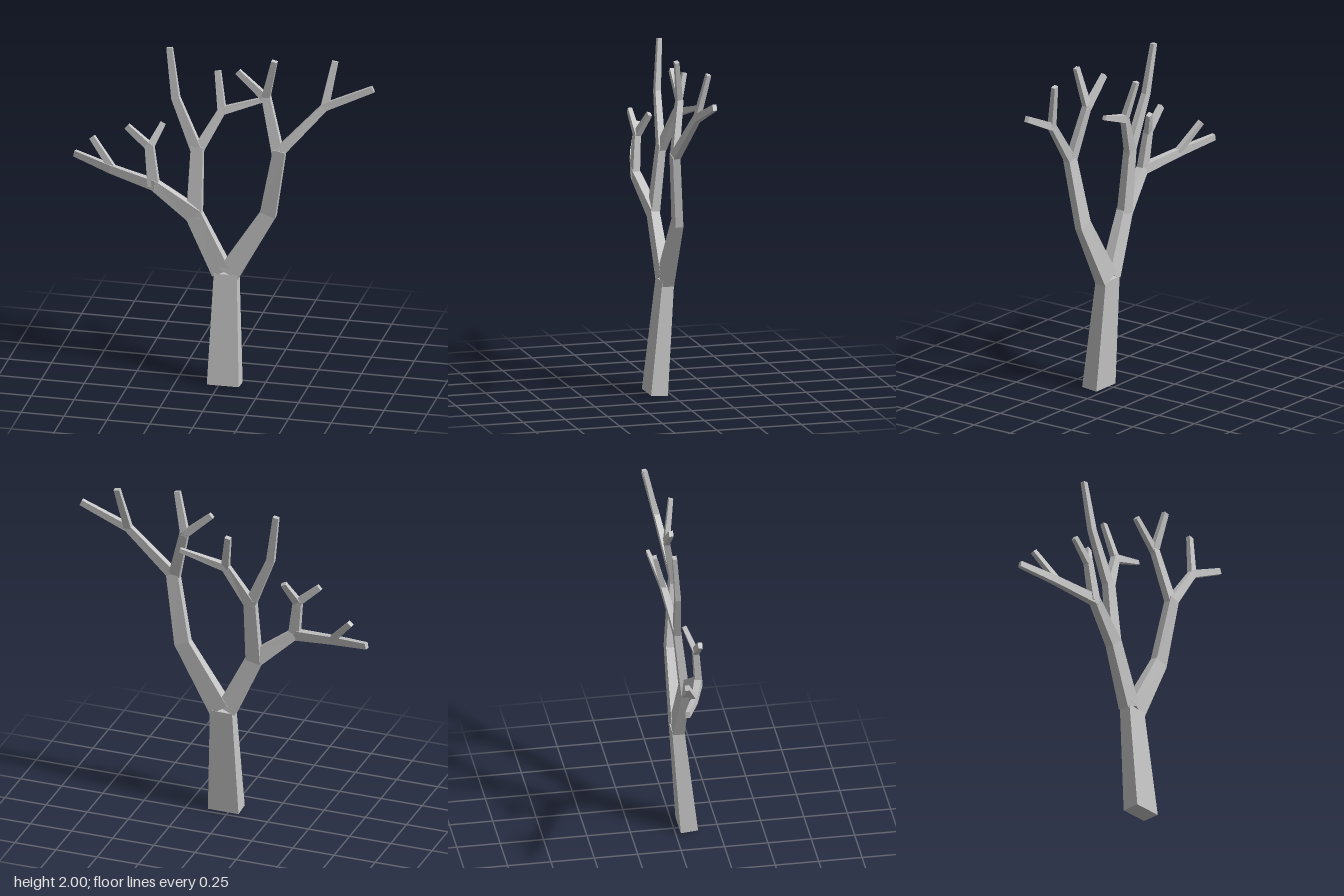
import * as THREE from 'three';

const bark = new THREE.MeshStandardMaterial({ color: 0xc6c6c6 });
bark.name = 'pale grey bark';

// Tapered rectangular limb through stations [x, y, z, width, depth]
function limb(name, stations) {
  const pts = stations.map(s => new THREE.Vector3(s[0], s[1], s[2]));
  const last = pts.length - 1;
  const rings = pts.map((p, i) => {
    const tangent = new THREE.Vector3();
    if (i > 0) tangent.add(p.clone().sub(pts[i - 1]).normalize());
    if (i < last) tangent.add(pts[i + 1].clone().sub(p).normalize());
    tangent.normalize();
    const side = tangent.clone().cross(new THREE.Vector3(0, 0, 1)).normalize();
    const front = side.clone().cross(tangent);
    const [, , , w, d] = stations[i];
    return [[-1, 1], [1, 1], [1, -1], [-1, -1]].map(([a, b]) =>
      p.clone().addScaledVector(side, a * w / 2).addScaledVector(front, b * d / 2));
  });
  const verts = [];
  const quad = (a, b, c, d) => [a, b, c, a, c, d].forEach(v => verts.push(v.x, v.y, v.z));
  for (let i = 0; i < last; i++) {
    for (let k = 0; k < 4; k++) {
      const n = (k + 1) % 4;
      quad(rings[i][k], rings[i][n], rings[i + 1][n], rings[i + 1][k]);
    }
  }
  // end caps
  const [a, b, c, d] = rings[0];
  quad(d, c, b, a);
  quad(...rings[last]);
  const geometry = new THREE.BufferGeometry();
  geometry.setAttribute('position', new THREE.Float32BufferAttribute(verts, 3));
  geometry.computeVertexNormals();
  const mesh = new THREE.Mesh(geometry, bark);
  mesh.name = name;
  return mesh;
}

export function createModel() {
  const tree = new THREE.Group();
  tree.name = 'bareTree';
  const parts = {
    trunk: [[0.03, 0.005, 0.08, 0.186, 0.1], [0.027, 0.66, 0.02, 0.135, 0.07]],

    // right-hand side of the tree (-x)
    rightBough: [[0, 0.67, 0.02, 0.113, 0.066], [-0.16, 1.01, 0.035, 0.1, 0.05],
      [-0.385, 1.19, 0.075, 0.06, 0.045]],
    rightLowBranch: [[-0.37, 1.185, 0.08, 0.06, 0.042], [-0.65, 1.232, 0.01, 0.048, 0.032],
      [-0.88, 1.275, -0.07, 0.036, 0.025]],
    rightLowTwig: [[-0.64, 1.235, 0.01, 0.04, 0.03], [-0.775, 1.39, -0.055, 0.033, 0.025]],
    rightForkStem: [[-0.385, 1.18, 0.075, 0.065, 0.042], [-0.415, 1.42, 0.055, 0.05, 0.035]],
    rightForkOuterTwig: [[-0.41, 1.405, 0.055, 0.045, 0.033], [-0.545, 1.525, 0.06, 0.035, 0.025]],
    rightForkInnerTwig: [[-0.41, 1.41, 0.055, 0.045, 0.033], [-0.348, 1.54, 0, 0.033, 0.025]],

    // upright limb in the middle
    middleBough: [[-0.157, 0.99, 0.035, 0.088, 0.05], [-0.15, 1.41, -0.01, 0.07, 0.042]],
    middleTallBranch: [[-0.15, 1.38, -0.008, 0.065, 0.04], [-0.28, 1.69, -0.025, 0.047, 0.033],
      [-0.322, 1.985, -0.05, 0.034, 0.025]],
    middleSideBranch: [[-0.15, 1.38, -0.008, 0.065, 0.04], [-0.02, 1.62, -0.065, 0.05, 0.035],
      [0.24, 1.703, -0.11, 0.025, 0.02]],
    middleTwig: [[-0.02, 1.62, -0.065, 0.045, 0.033], [-0.057, 1.84, -0.12, 0.034, 0.025]],

    // left-hand side of the tree (+x)
    leftBough: [[0.043, 0.665, 0.02, 0.125, 0.068], [0.27, 1.045, 0.018, 0.093, 0.046],
      [0.345, 1.46, 0.055, 0.072, 0.044]],
    leftInnerStem: [[0.335, 1.44, 0.055, 0.065, 0.04], [0.253, 1.76, 0, 0.05, 0.034]],
    leftInnerTwig: [[0.255, 1.745, 0, 0.046, 0.032], [0.088, 1.897, 0, 0.034, 0.025]],
    leftTallTwig: [[0.25, 1.745, 0, 0.048, 0.032], [0.31, 1.995, 0.035, 0.034, 0.025]],
    leftOuterBranch: [[0.34, 1.445, 0.055, 0.06, 0.04], [0.595, 1.727, 0, 0.045, 0.032],
      [0.872, 1.853, -0.025, 0.036, 0.025]],
    leftOuterTwig: [[0.595, 1.727, 0, 0.045, 0.032], [0.643, 1.99, -0.055, 0.034, 0.025]],
  };
  for (const [name, stations] of Object.entries(parts)) tree.add(limb(name, stations));
  return tree;
}
